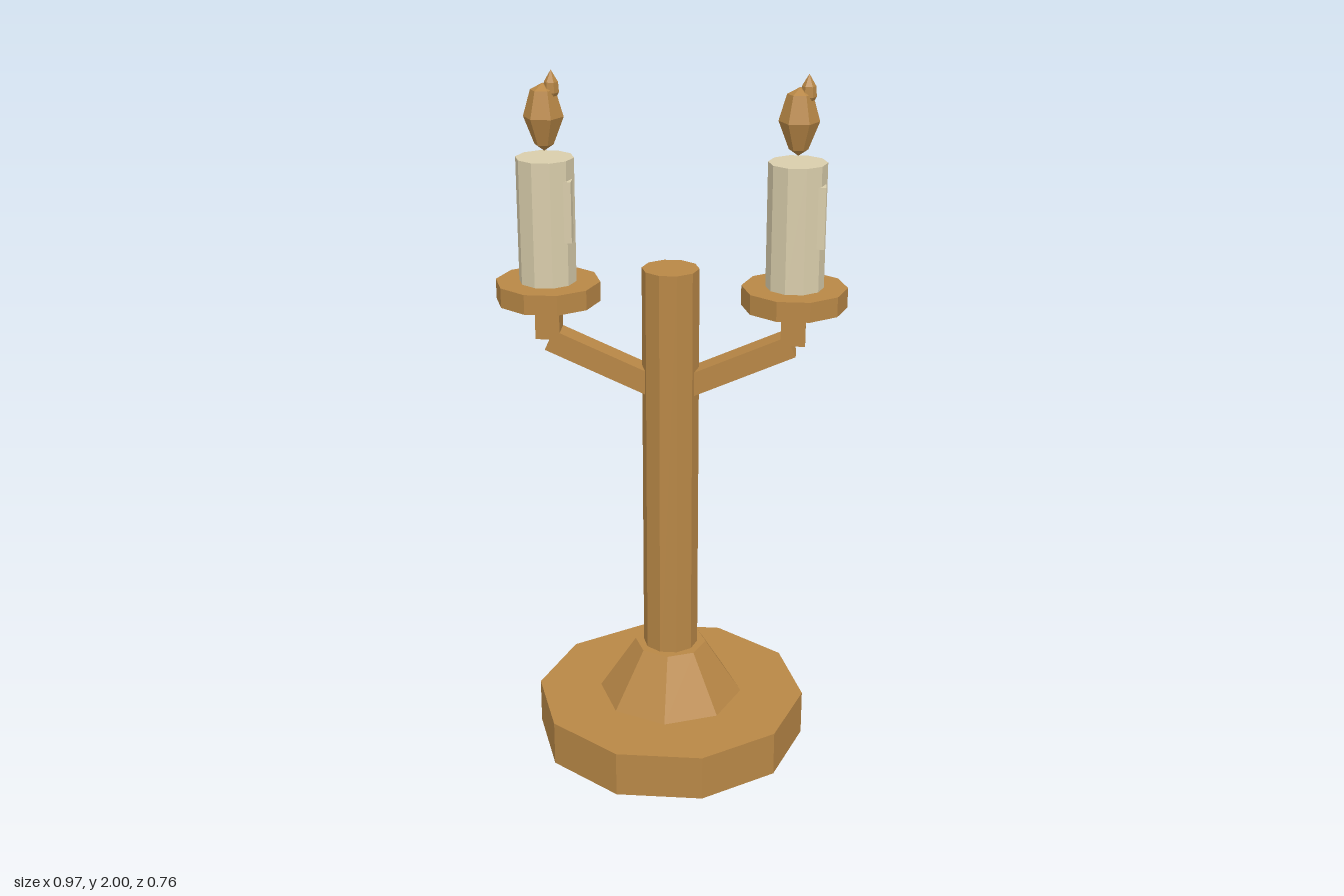
import * as THREE from 'three';

export function createModel() {
  const model = new THREE.Group();
  model.name = 'candelabra';
  const wood = new THREE.MeshStandardMaterial({ color: 0xb88746, flatShading: true });
  wood.name = 'warm wood';
  const wax = new THREE.MeshStandardMaterial({ color: 0xd9cdab, flatShading: true });
  wax.name = 'cream wax';

  const add = (parent, name, geometry, material, x = 0, y = 0, z = 0) => {
    const mesh = new THREE.Mesh(geometry, material);
    mesh.name = name;
    mesh.position.set(x, y, z);
    parent.add(mesh);
    return mesh;
  };

  // Upright prism or frustum between two heights, with a corner on the x axis
  const prism = (parent, name, rTop, rBottom, y0, y1, sides, material) =>
    add(parent, name,
      new THREE.CylinderGeometry(rTop, rBottom, y1 - y0, sides, 1, false, Math.PI / 2),
      material, 0, (y0 + y1) / 2, 0);

  // Faceted drop turned from a short profile of [radius, height]
  const drop = (profile) => new THREE.LatheGeometry(
    profile.map(([r, y]) => new THREE.Vector2(r, y)), 6, Math.PI / 2);

  // Stand
  prism(model, 'base', 0.398, 0.398, 0, 0.135, 10, wood);
  prism(model, 'collar', 0.105, 0.212, 0.135, 0.3, 8, wood);
  prism(model, 'column', 0.08, 0.08, 0.135, 1.462, 10, wood);

  // Sloping arm with a square-cut outer end
  const armShape = new THREE.Shape([
    [0.03, 1.083], [0.35, 1.225], [0.324, 1.283], [0.03, 1.153],
  ].map(([x, y]) => new THREE.Vector2(x, y)));
  const armGeometry = new THREE.ExtrudeGeometry(armShape, { depth: 0.07, bevelEnabled: false });
  armGeometry.translate(0, 0, -0.035);

  for (const side of [-1, 1]) {
    const label = side > 0 ? 'left' : 'right';
    const arm = add(model, label + 'Arm', armGeometry, wood);
    if (side < 0) arm.rotation.y = Math.PI;

    // Holder, candle and flame
    const holder = new THREE.Group();
    holder.name = label + 'Holder';
    holder.position.x = side * 0.341;
    model.add(holder);
    add(holder, 'post', new THREE.BoxGeometry(0.068, 0.11, 0.07), wood, 0, 1.311, 0);
    prism(holder, 'dripTray', 0.146, 0.146, 1.362, 1.418, 10, wood);
    prism(holder, 'candle', 0.08, 0.08, 1.418, 1.765, 10, wax);
    add(holder, 'waxDrip', new THREE.BoxGeometry(0.032, 0.17, 0.034), wax, 0.061, 1.625, 0.036);
    add(holder, 'flame', drop([
      [0, 1.782], [0.026, 1.8], [0.055, 1.875], [0.034, 1.947], [0, 1.965],
    ]), wood);
    add(holder, 'flameTip', drop([
      [0, 1.905], [0.021, 1.94], [0.019, 1.968], [0, 2],
    ]), wood, 0.023, 0, 0);
  }
  return model;
}
